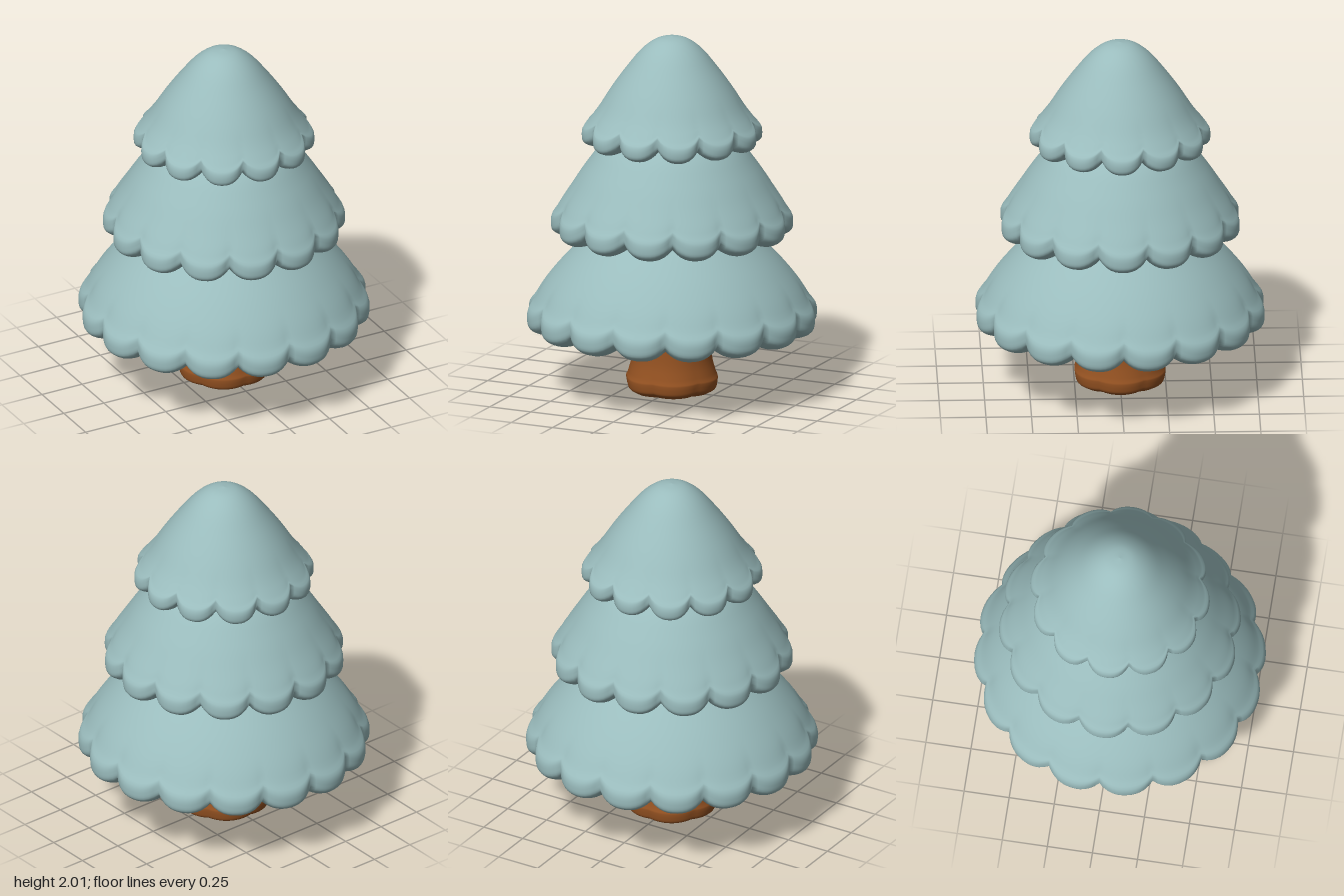
import * as THREE from 'three';

// Surface of revolution whose rim is pinched into rounded lobes.
// Profile points run top to bottom as [radius, height, lobe strength].
function lobedSurface(profile, { lobes, depth, lift, phase = 0, rows = 48, perLobe = 12, power = 2.4 }) {
  const curve = new THREE.CatmullRomCurve3(
    profile.map(([r, y, w]) => new THREE.Vector3(r, y, w)), false, 'centripetal');
  const cols = lobes * perLobe;
  const positions = [];
  const indices = [];
  for (let i = 0; i <= rows; i++) {
    const p = curve.getPoint(i / rows);
    for (let j = 0; j < cols; j++) {
      const angle = (j / cols) * Math.PI * 2;
      const t = (j / perLobe + phase) % 1; // 0 and 1 are notches
      const notch = Math.pow(Math.abs(2 * t - 1), power) * Math.max(p.z, 0);
      const r = Math.max(p.x - depth * notch, 0);
      positions.push(r * Math.sin(angle), p.y + lift * notch, r * Math.cos(angle));
      if (i < rows) {
        const k = (j + 1) % cols;
        const a = i * cols + j, b = a + cols, c = i * cols + k, d = c + cols;
        indices.push(a, b, c, b, d, c);
      }
    }
  }
  const geometry = new THREE.BufferGeometry();
  geometry.setAttribute('position', new THREE.Float32BufferAttribute(positions, 3));
  geometry.setIndex(indices);
  geometry.computeVertexNormals();
  return geometry;
}

export function createModel() {
  const foliage = new THREE.MeshStandardMaterial({ color: 0x9abcbd });
  foliage.name = 'frosty foliage';
  const bark = new THREE.MeshStandardMaterial({ color: 0x935121 });
  bark.name = 'brown bark';

  const tree = new THREE.Group();
  tree.name = 'tree';
  const add = (name, geometry, material) => {
    const mesh = new THREE.Mesh(geometry, material);
    mesh.name = name;
    tree.add(mesh);
  };

  // Top tier: rounded tip, twelve lobes with one facing front
  add('topTier', lobedSurface([
    [0, 2.0, 0], [0.08, 1.985, 0], [0.16, 1.93, 0], [0.255, 1.815, 0], [0.33, 1.71, 0],
    [0.4, 1.6, 0.15], [0.462, 1.515, 0.6], [0.496, 1.455, 1], [0.49, 1.415, 1],
    [0.45, 1.393, 1], [0.4, 1.393, 1], [0.355, 1.41, 0.7], [0.31, 1.44, 0.3], [0.2, 1.47, 0],
  ], { lobes: 12, depth: 0.05, lift: 0.055, phase: 0.5 }), foliage);

  // Middle tier: fourteen lobes with a notch facing front
  add('middleTier', lobedSurface([
    [0.2, 1.5, 0], [0.36, 1.41, 0], [0.47, 1.275, 0], [0.56, 1.14, 0.15], [0.63, 1.03, 0.6],
    [0.664, 0.955, 1], [0.658, 0.91, 1], [0.61, 0.88, 1], [0.55, 0.878, 1],
    [0.49, 0.9, 0.7], [0.43, 0.935, 0.3], [0.3, 0.97, 0],
  ], { lobes: 14, depth: 0.05, lift: 0.055 }), foliage);

  // Bottom tier: sixteen lobes, hollow ribbed underside and a collar on the trunk
  add('bottomTier', lobedSurface([
    [0.3, 0.98, 0], [0.43, 0.89, 0], [0.565, 0.765, 0], [0.67, 0.645, 0.15], [0.757, 0.515, 0.6],
    [0.8, 0.43, 1], [0.792, 0.375, 1], [0.735, 0.343, 1], [0.65, 0.341, 1],
    [0.55, 0.375, 0.7], [0.4, 0.435, 0.4], [0.27, 0.48, 0.1], [0.21, 0.475, 0],
    [0.203, 0.43, 0], [0.203, 0.37, 0],
  ], { lobes: 16, depth: 0.045, lift: 0.05, rows: 60 }), foliage);

  // Trunk: flared foot with soft root bulges and a flat base
  add('trunk', lobedSurface([
    [0.204, 0.372, 0], [0.21, 0.28, 0], [0.222, 0.18, 0.2], [0.244, 0.1, 0.5],
    [0.255, 0.05, 1], [0.247, 0.018, 1], [0.225, 0.003, 1], [0.11, 0, 0], [0, 0, 0],
  ], { lobes: 6, depth: 0.01, lift: 0.006, power: 2, rows: 30 }), bark);

  return tree;
}
